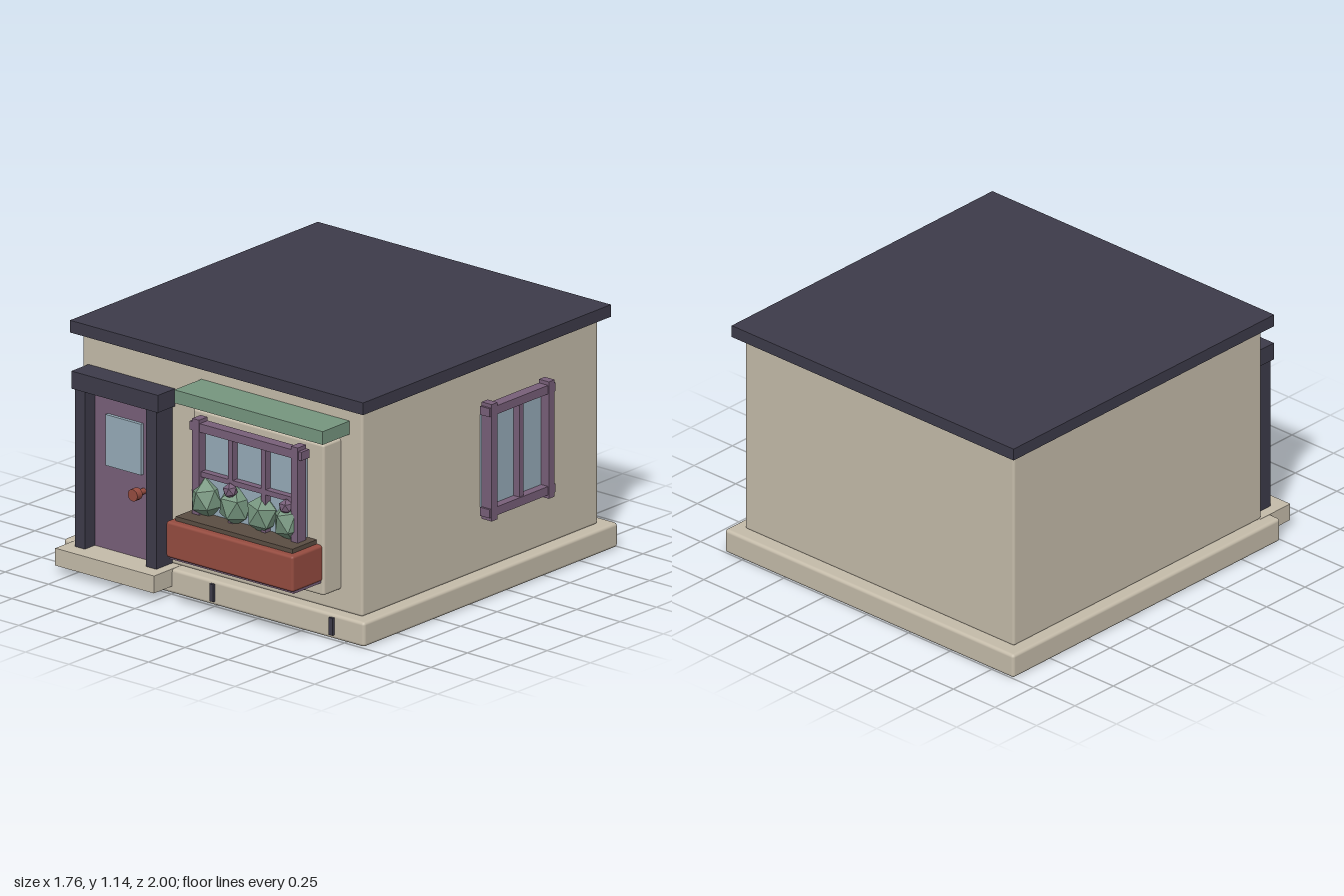
import * as THREE from 'three';
import { RoundedBoxGeometry } from 'three/addons/geometries/RoundedBoxGeometry.js';

const mat = (name, color) => {
  const m = new THREE.MeshStandardMaterial({ color });
  m.name = name;
  return m;
};

export function createModel() {
  const cream = mat('cream plaster', 0xc5bcaa);
  const slate = mat('dark slate', 0x3d3b4a);
  const plum = mat('plum paint', 0x785f79);
  const glass = mat('window glass', 0x96abb8);
  const green = mat('sage green', 0x76967f);
  const brick = mat('brick red', 0x954c40);
  const soil = mat('soil brown', 0x5a4d42);

  const house = new THREE.Group();
  house.name = 'house';

  const add = (parent, name, geometry, material) => {
    const mesh = new THREE.Mesh(geometry, material);
    mesh.name = name;
    parent.add(mesh);
    return mesh;
  };
  // Box given by its limits on each axis; a radius rounds the edges
  const box = (parent, name, material, [x0, x1], [y0, y1], [z0, z1], radius = 0) => {
    const s = [x1 - x0, y1 - y0, z1 - z0];
    const g = radius ? new RoundedBoxGeometry(...s, 2, radius) : new THREE.BoxGeometry(...s);
    const mesh = add(parent, name, g, material);
    mesh.position.set((x0 + x1) / 2, (y0 + y1) / 2, (z0 + z1) / 2);
    return mesh;
  };

  // Main body
  box(house, 'plinth', cream, [-0.88, 0.857], [0.005, 0.12], [-1, 0.742], 0.015);
  box(house, 'walls', cream, [-0.82, 0.797], [0.118, 1.086], [-0.932, 0.683], 0.012);
  box(house, 'roof', slate, [-0.86, 0.834], [1.085, 1.142], [-0.977, 0.722]);
  for (const x of [-0.704, -0.015, 0.674])
    box(house, 'plinthJoint', slate, [x - 0.011, x + 0.011], [0.025, 0.106], [0.7, 0.755]);

  // Entrance
  const entrance = new THREE.Group();
  entrance.name = 'entrance';
  house.add(entrance);
  box(entrance, 'doorstep', cream, [-0.823, -0.252], [0.04, 0.121], [0.66, 0.867]);
  box(entrance, 'door', plum, [-0.716, -0.36], [0.12, 0.862], [0.67, 0.725]);
  box(entrance, 'doorGlass', glass, [-0.638, -0.433], [0.518, 0.757], [0.72, 0.742]);
  box(entrance, 'leftJamb', slate, [-0.361, -0.301], [0.12, 0.862], [0.68, 0.793]);
  box(entrance, 'rightJamb', slate, [-0.772, -0.714], [0.12, 0.862], [0.68, 0.793]);
  box(entrance, 'lintel', slate, [-0.786, -0.286], [0.86, 0.942], [0.68, 0.8]);
  const stem = add(entrance, 'knobStem', new THREE.CylinderGeometry(0.014, 0.014, 0.05, 10), brick);
  stem.rotation.x = Math.PI / 2;
  stem.position.set(-0.43, 0.441, 0.745);
  const knob = add(entrance, 'doorKnob', new THREE.CylinderGeometry(0.028, 0.028, 0.036, 14), brick);
  knob.rotation.x = Math.PI / 2;
  knob.position.set(-0.43, 0.441, 0.785);

  // Window facing +z with its back on z = 0, centred on its own x and y
  const makeWindow = (name, halfPost, halfBar, mullions, hasMidBar) => {
    const w = new THREE.Group();
    w.name = name;
    box(w, 'glassPane', glass, [-halfPost, halfPost], [-0.238, 0.238], [-0.01, 0.043]);
    for (const s of [-1, 1]) {
      const px = s * halfPost, by = s * 0.237;
      box(w, 'post', plum, [px - 0.02, px + 0.02], [-0.274, 0.274], [0.03, 0.088]);
      box(w, 'rail', plum, [-halfBar, halfBar], [by - 0.02, by + 0.02], [0.03, 0.084]);
    }
    for (const x of mullions)
      box(w, 'mullion', plum, [x - 0.013, x + 0.013], [-0.237, 0.237], [0.03, 0.078]);
    if (hasMidBar) box(w, 'midBar', plum, [-halfPost, halfPost], [0.006, 0.03], [0.03, 0.076]);
    house.add(w);
    return w;
  };

  // Front bay with window and awning
  box(house, 'bayPanel', cream, [-0.083, 0.673], [0.22, 0.928], [0.66, 0.8], 0.012);
  box(house, 'awning', green, [-0.133, 0.724], [0.96, 1.022], [0.67, 0.868]);
  makeWindow('frontWindow', 0.285, 0.323, [-0.094, 0.096], true).position.set(0.293, 0.648, 0.802);

  // Window on the left wall
  const side = makeWindow('sideWindow', 0.196, 0.227, [0], false);
  side.rotation.y = Math.PI / 2;
  side.position.set(0.794, 0.647, -0.319);

  // Planter
  const planter = new THREE.Group();
  planter.name = 'planter';
  house.add(planter);
  box(planter, 'planterBox', brick, [-0.073, 0.662], [0.288, 0.456], [0.78, 1], 0.012);
  box(planter, 'planterBase', plum, [-0.066, 0.656], [0.278, 0.3], [0.8, 0.985]);
  box(planter, 'soil', soil, [-0.042, 0.632], [0.44, 0.476], [0.8, 0.967]);

  // Faceted shrubs, each with one vertex turned upward, and two blossoms
  const tilt = Math.atan(2 / (1 + Math.sqrt(5)));
  const faceted = (name, material, r, stretch, x, y, z, turn) => {
    const g = new THREE.IcosahedronGeometry(r, 0);
    g.rotateZ(tilt).rotateY(turn).rotateZ(0.2 * Math.sin(turn * 3)).scale(1, stretch, 1);
    add(planter, name, g, material).position.set(x, y, z);
  };
  [0.045, 0.207, 0.366, 0.523].forEach((x, i) =>
    faceted('shrub', green, 0.08, 1.17, x, 0.552, 0.853, 0.3 + i * 0.8));
  for (const x of [0.206, 0.529])
    faceted('blossom', plum, 0.036, 1, x, 0.632, 0.887, x * 4);
  for (const m of planter.children)
    if (m.name === 'shrub' || m.name === 'blossom') m.material.flatShading = m.material.flatShading;

  return house;
}
